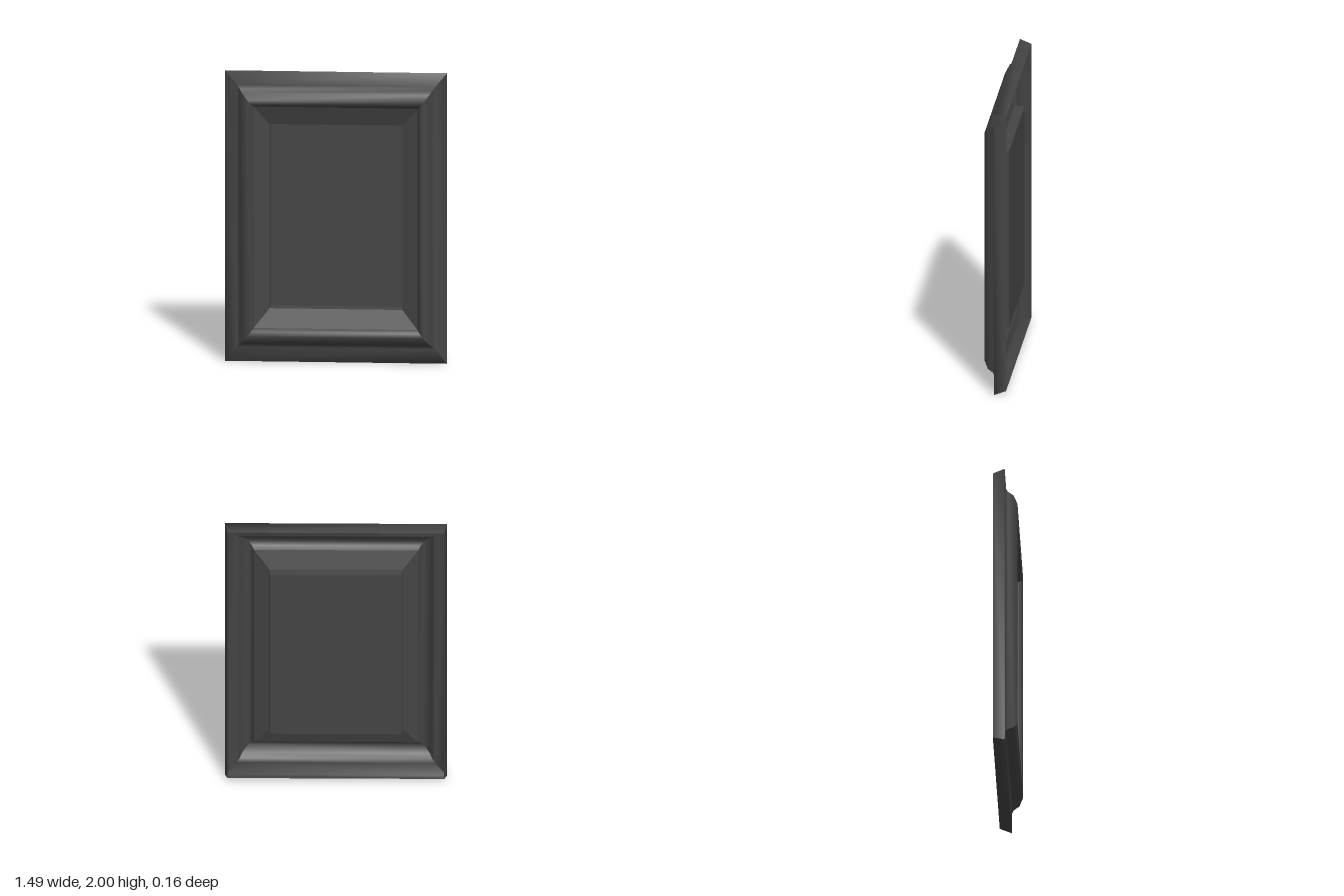
import * as THREE from 'three';

const HALF_W = 0.745, HALF_H = 1, RATIO = 1.22; // top and bottom rails are wider than the stiles

const material = new THREE.MeshStandardMaterial({ color: 0x444444, side: THREE.DoubleSide });

// One mitred side: a strip through the [inset, z] profile between two corners
function sideGeometry(profile, cornerA, cornerB) {
  const positions = [], index = [];
  profile.forEach(([d, z], i) => {
    for (const [sx, sy] of [cornerA, cornerB]) {
      positions.push(sx * (HALF_W - d), HALF_H + sy * (HALF_H - d * RATIO), z);
    }
    if (i > 0) {
      const a = 2 * (i - 1);
      index.push(a, a + 1, a + 3, a, a + 3, a + 2);
    }
  });
  const geometry = new THREE.BufferGeometry();
  geometry.setAttribute('position', new THREE.Float32BufferAttribute(positions, 3));
  geometry.setIndex(index);
  geometry.computeVertexNormals();
  return geometry;
}

// Four mitred sides around the opening
function ring(name, profile) {
  const group = new THREE.Group();
  group.name = name;
  const corners = [[-1, -1], [1, -1], [1, 1], [-1, 1]];
  ['bottom', 'left', 'top', 'right'].forEach((side, i) => {
    const mesh = new THREE.Mesh(sideGeometry(profile, corners[i], corners[(i + 1) % 4]), material);
    mesh.name = `${name}_${side}`;
    group.add(mesh);
  });
  return group;
}

export function createModel() {
  const model = new THREE.Group();
  model.name = 'pictureFrame';

  // Outer wall, flat rim and raised moulding, a hollow shell open at the back
  model.add(ring('moulding', [
    [0.02, -0.08], [0, 0], [0.08, 0], [0.1, 0.017], [0.117, 0.055],
    [0.155, 0.081], [0.18, 0.07], [0.195, 0.04],
  ]));

  // Shallow slope down to the opening
  model.add(ring('innerBevel', [[0.195, 0.04], [0.3, 0]]));

  // Step back to the panel
  model.add(ring('reveal', [[0.3, 0], [0.303, -0.067]]));

  // Flat panel
  const inset = 0.303;
  const panel = new THREE.Mesh(
    new THREE.PlaneGeometry(2 * (HALF_W - inset), 2 * (HALF_H - inset * RATIO)), material);
  panel.name = 'panel';
  panel.position.set(0, HALF_H, -0.067);
  model.add(panel);

  return model;
}
